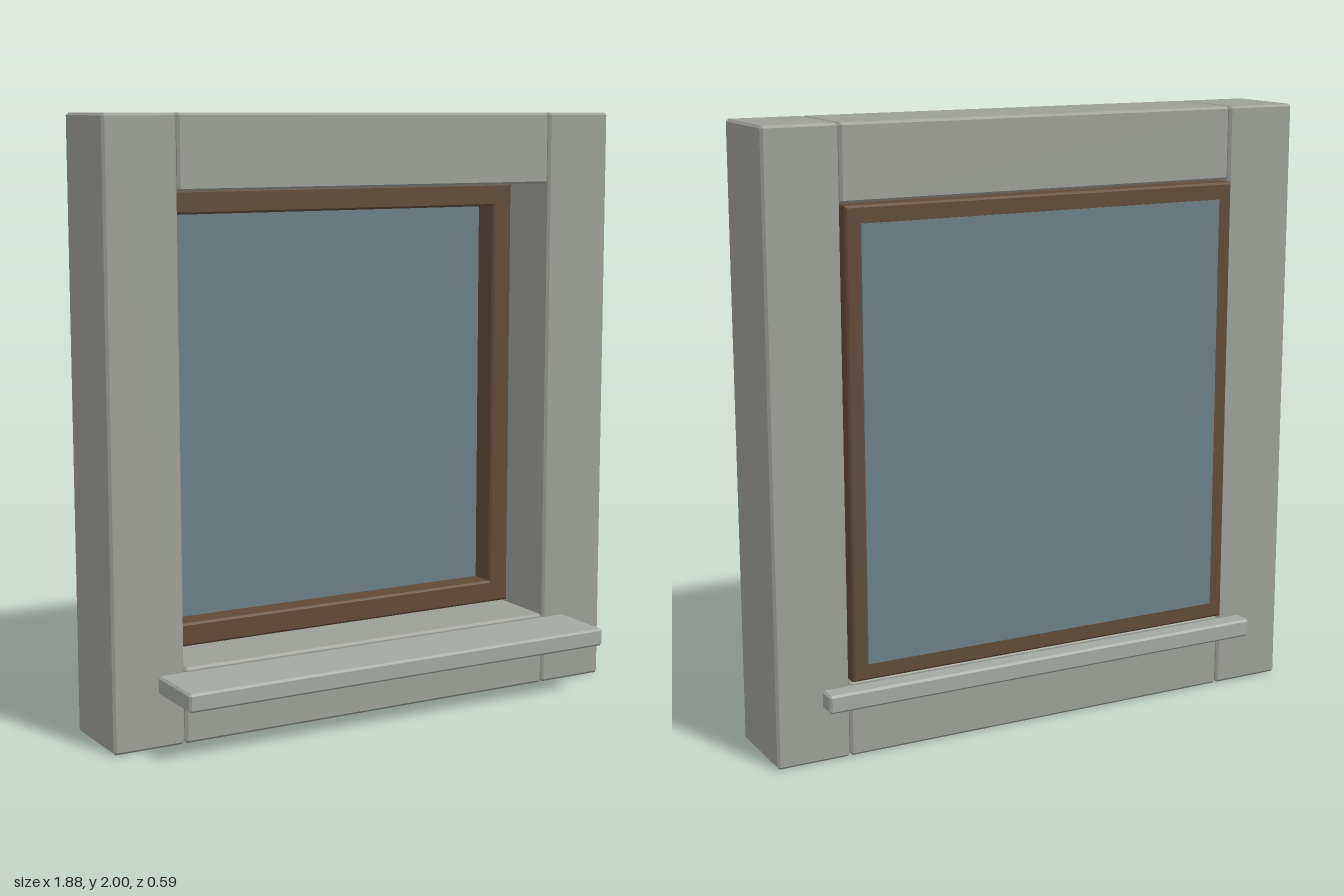
import * as THREE from 'three';
import { ConvexGeometry } from 'three/addons/geometries/ConvexGeometry.js';

const material = (color) => new THREE.MeshStandardMaterial({ color });

// Box between two corners with all edges chamfered by c
function chamferBox(name, min, max, c, mat) {
  const mid = min.map((v, i) => (v + max[i]) / 2);
  const half = min.map((v, i) => (max[i] - v) / 2);
  const points = [];
  for (const sx of [-1, 1]) for (const sy of [-1, 1]) for (const sz of [-1, 1]) {
    for (let full = 0; full < 3; full++) {
      const p = [sx, sy, sz].map((s, i) => mid[i] + s * (half[i] - (i === full ? 0 : c)));
      points.push(new THREE.Vector3(...p));
    }
  }
  const mesh = new THREE.Mesh(new ConvexGeometry(points), mat);
  mesh.name = name;
  return mesh;
}

function rectangle(target, x, y0, y1) {
  target.moveTo(-x, y0);
  target.lineTo(x, y0);
  target.lineTo(x, y1);
  target.lineTo(-x, y1);
  target.closePath();
  return target;
}

export function createModel() {
  const group = new THREE.Group();
  group.name = 'window';
  const stone = material(0x9c9e97);
  const sillStone = material(0xa3a8a3);
  const wood = material(0x604a38);
  const glass = material(0x6a7f86);
  const back = -0.235, front = 0.062;

  // Masonry surround
  group.add(
    chamferBox('leftJamb', [0.695, 0, back], [0.94, 2, front], 0.008, stone),
    chamferBox('rightJamb', [-0.94, 0, back], [-0.695, 2, front], 0.008, stone),
    chamferBox('lintel', [-0.692, 1.76, back], [0.692, 2, front], 0.008, stone),
    chamferBox('baseBlock', [-0.692, 0, back], [0.692, 0.25, front], 0.008, stone)
  );

  // Sill slab running through the wall
  group.add(chamferBox('sill', [-0.785, 0.177, -0.295], [0.785, 0.237, 0.295], 0.007, sillStone));

  // Wooden frame with a bevelled opening
  const bevel = 0.007, depth = 0.105;
  const outline = rectangle(new THREE.Shape(), 0.69, 0.255, 1.755);
  outline.holes.push(rectangle(new THREE.Path(), 0.613, 0.333, 1.677));
  const frameGeometry = new THREE.ExtrudeGeometry(outline, {
    depth: depth - 2 * bevel, bevelEnabled: true, bevelSegments: 1,
    bevelSize: bevel, bevelThickness: bevel, bevelOffset: -bevel
  });
  const frame = new THREE.Mesh(frameGeometry, wood);
  frame.name = 'frame';
  frame.position.z = -0.26 + bevel;
  group.add(frame);

  // Pane set against the back of the frame
  const pane = new THREE.Mesh(new THREE.BoxGeometry(1.28, 1.39, 0.02), glass);
  pane.name = 'pane';
  pane.position.set(0, 1.005, -0.255);
  group.add(pane);

  return group;
}
